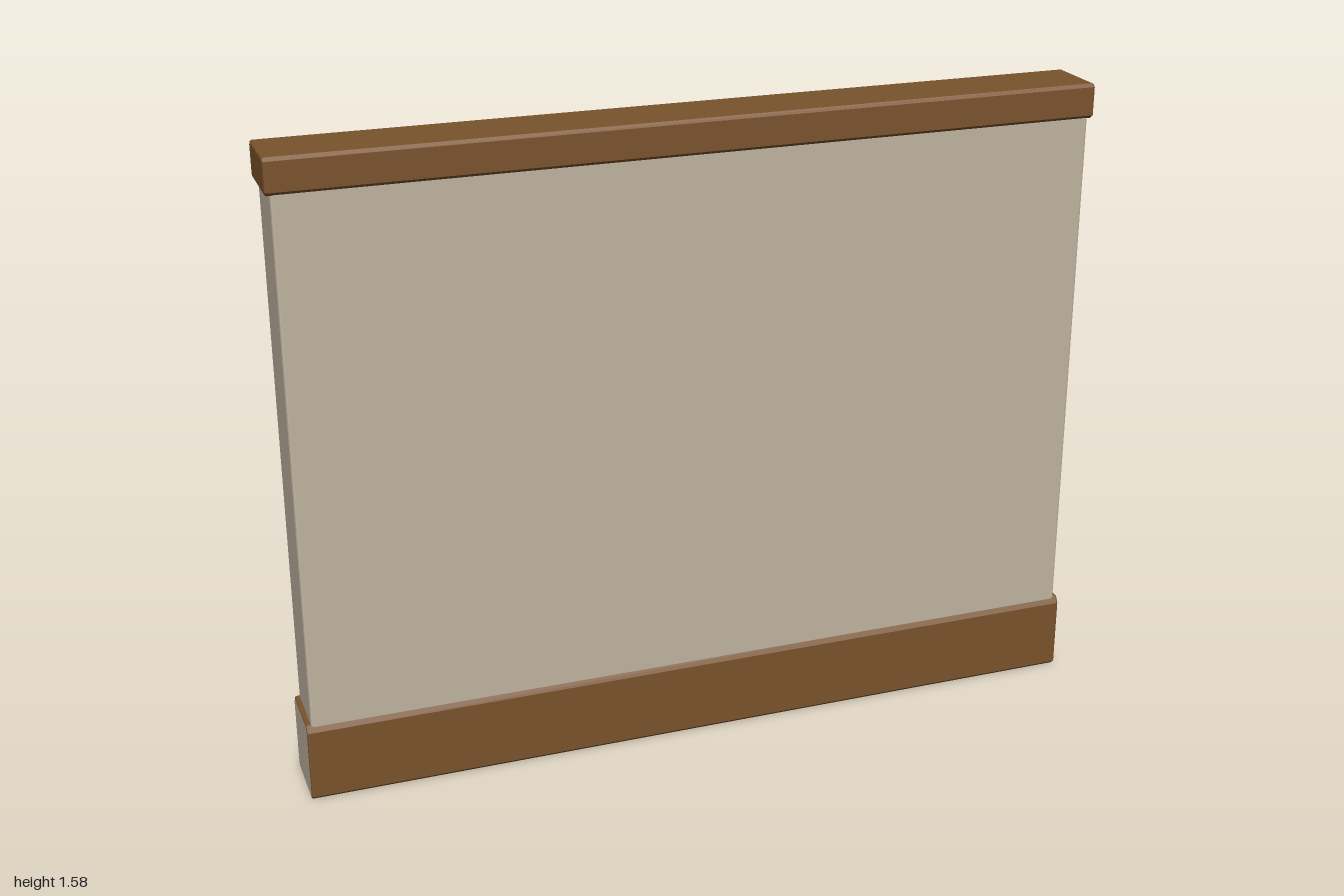
import * as THREE from 'three';

const wood = new THREE.MeshStandardMaterial({ name: 'brownWood', color: 0x7a532c });
const plaster = new THREE.MeshStandardMaterial({ name: 'creamPlaster', color: 0xc0b4a0 });

// Extrudes a [z, y] cross-section along x, centred on x = 0, with softened ends
function beam(name, section, length, bevel, endMaterial, sideMaterial) {
  const shape = new THREE.Shape(section.map(([z, y]) => new THREE.Vector2(-z, y)));
  const geometry = new THREE.ExtrudeGeometry(shape, {
    depth: length - 2 * bevel, bevelThickness: bevel, bevelSize: bevel,
    bevelOffset: -bevel, bevelSegments: 2, steps: 1,
  });
  geometry.translate(0, 0, bevel - length / 2);
  geometry.rotateY(Math.PI / 2);
  const mesh = new THREE.Mesh(geometry, [endMaterial, sideMaterial]);
  mesh.name = name;
  return mesh;
}

// Rectangle with cut corners, counter-clockwise in (-z, y)
function cutRect(back, front, y0, y1, c) {
  return [
    [front - c, y0], [back + c, y0], [back, y0 + c], [back, y1 - c],
    [back + c, y1], [front - c, y1], [front, y1 - c], [front, y0 + c],
  ];
}

export function createModel() {
  const group = new THREE.Group();
  group.name = 'wallPanel';

  // Plastered wall between the boards
  group.add(beam('wall', cutRect(-0.075, 0.079, 0.1, 1.53, 0.008), 1.976, 0.006, plaster, plaster));

  // Timber cap along the top
  group.add(beam('topRail', cutRect(-0.086, 0.086, 1.495, 1.58, 0.008), 2, 0.006, wood, wood));

  // Skirting with sloped shoulders, plastered at both ends
  const skirting = [
    [0.078, 0], [-0.078, 0], [-0.086, 0.008], [-0.086, 0.182],
    [-0.074, 0.2], [0.076, 0.2], [0.086, 0.182], [0.086, 0.008],
  ];
  group.add(beam('skirtingBoard', skirting, 2, 0.005, plaster, wood));

  return group;
}
